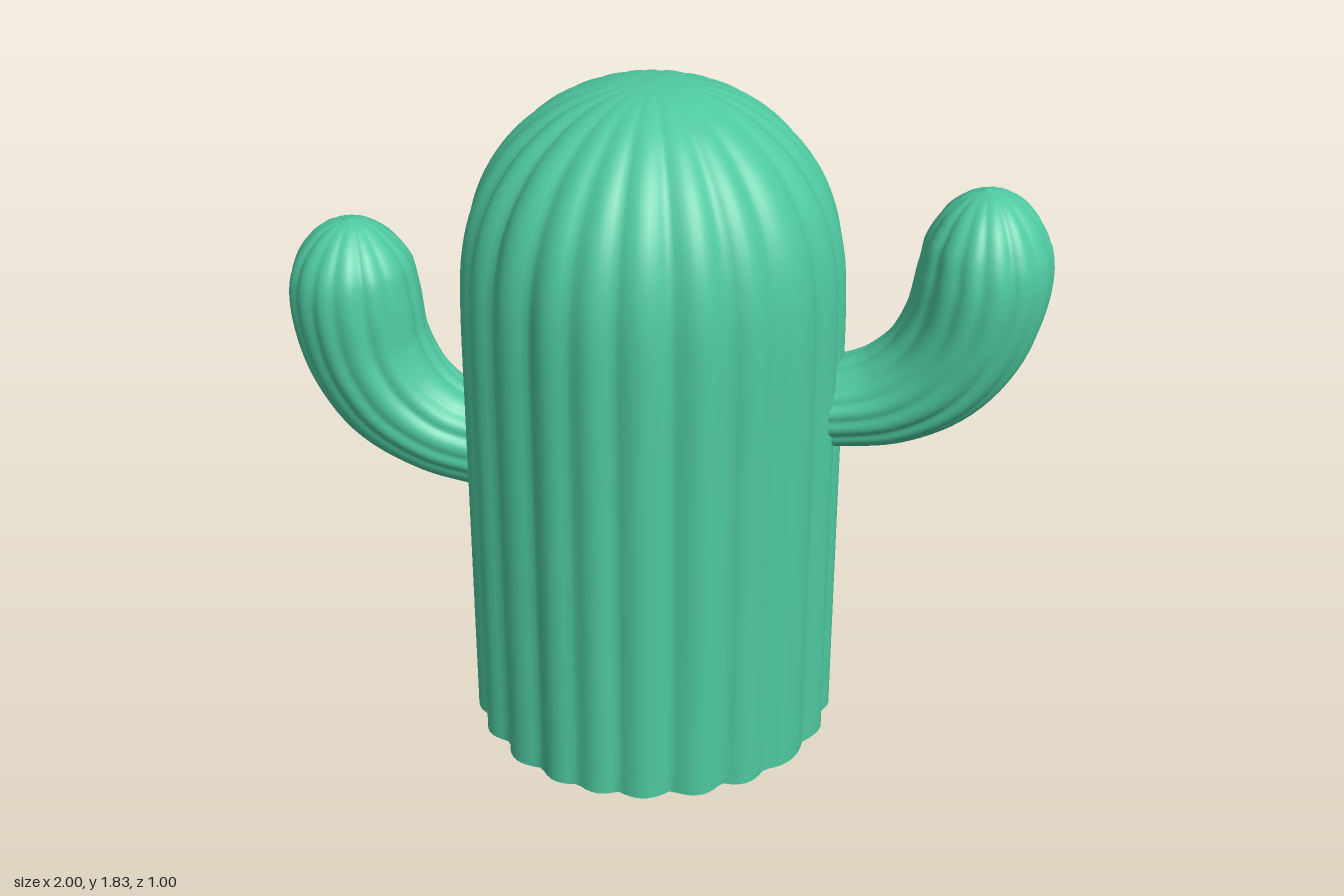
import * as THREE from 'three';

const green = new THREE.MeshStandardMaterial({ color: 0x4ec8a0 });
green.name = 'cactus green';

// Lofts a ribbed skin along stations [x, y, radius in the xy plane, radius along z]
function ribbedLoft(stations, ribs, depth, steps) {
  const path = new THREE.CatmullRomCurve3(stations.map(s => new THREE.Vector3(s[0], s[1], 0)), false, 'catmullrom');
  const size = new THREE.CatmullRomCurve3(stations.map(s => new THREE.Vector3(s[2], s[3], 0)), false, 'catmullrom');
  const n = ribs * 8;
  const pos = [], index = [];
  for (let i = 0; i <= steps; i++) {
    const t = i / steps;
    const c = path.getPoint(t), r = size.getPoint(t), dir = path.getTangent(t);
    for (let j = 0; j < n; j++) {
      const a = (j / n) * Math.PI * 2;
      // rounded lobes with narrow valleys, slightly uneven in width and depth
      const uneven = a + 0.035 * Math.sin(3 * a + 1) + 0.02 * Math.sin(7 * a);
      const cut = depth * (1 + 0.3 * Math.sin(5 * a + 2));
      const k = 1 - cut * (1 - Math.abs(Math.cos(uneven * ribs / 2)));
      const u = Math.cos(a) * Math.max(r.x, 0) * k;
      pos.push(c.x + dir.y * u, c.y - dir.x * u, Math.sin(a) * Math.max(r.y, 0) * k);
    }
  }
  for (let i = 0; i < steps; i++) {
    for (let j = 0; j < n; j++) {
      const a = i * n + j, b = i * n + (j + 1) % n;
      index.push(a, a + n, b, b, a + n, b + n);
    }
  }
  const geo = new THREE.BufferGeometry();
  geo.setAttribute('position', new THREE.Float32BufferAttribute(pos, 3));
  geo.setIndex(index);
  geo.computeVertexNormals();
  geo.userData.ringSize = n;
  return geo;
}

// Flat underside that follows the first ring of a loft
function baseCap(loft) {
  const p = loft.attributes.position;
  const outline = [];
  for (let j = 0; j < loft.userData.ringSize; j++) outline.push(new THREE.Vector2(p.getX(j), p.getZ(j)));
  return new THREE.ShapeGeometry(new THREE.Shape(outline)).rotateX(Math.PI / 2);
}

export function createModel() {
  const group = new THREE.Group();
  group.name = 'cactus';
  const add = (name, geo) => {
    const mesh = new THREE.Mesh(geo, green);
    mesh.name = name;
    group.add(mesh);
  };

  // Trunk: straight ribbed column with a domed top
  const trunkProfile = [
    [0, 0.503], [0.45, 0.503], [0.9, 0.503], [1.25, 0.502], [1.42, 0.488], [1.55, 0.448],
    [1.66, 0.378], [1.74, 0.292], [1.79, 0.205], [1.82, 0.11], [1.83, 0],
  ];
  const trunk = ribbedLoft(trunkProfile.map(([y, r]) => [-0.02, y, r, r]), 22, 0.05, 60);
  add('trunk', trunk);
  add('trunkBase', baseCap(trunk));

  // Higher arm on the +x side
  add('leftArm', ribbedLoft([
    [0.36, 0.97, 0.11, 0.14], [0.49, 0.985, 0.118, 0.145], [0.61, 1.02, 0.135, 0.155],
    [0.72, 1.1, 0.155, 0.168], [0.795, 1.22, 0.168, 0.182], [0.828, 1.36, 0.172, 0.19],
    [0.828, 1.46, 0.157, 0.17], [0.825, 1.535, 0.115, 0.122], [0.822, 1.58, 0.062, 0.062], [0.82, 1.6, 0, 0],
  ], 14, 0.06, 54));

  // Lower arm on the -x side
  add('rightArm', ribbedLoft([
    [-0.36, 0.765, 0.125, 0.14], [-0.5, 0.79, 0.13, 0.145], [-0.62, 0.83, 0.14, 0.155],
    [-0.73, 0.915, 0.16, 0.165], [-0.8, 1.04, 0.17, 0.175], [-0.826, 1.18, 0.175, 0.182],
    [-0.828, 1.28, 0.16, 0.168], [-0.827, 1.35, 0.118, 0.122], [-0.825, 1.395, 0.062, 0.062], [-0.825, 1.413, 0, 0],
  ], 14, 0.06, 54));

  return group;
}
